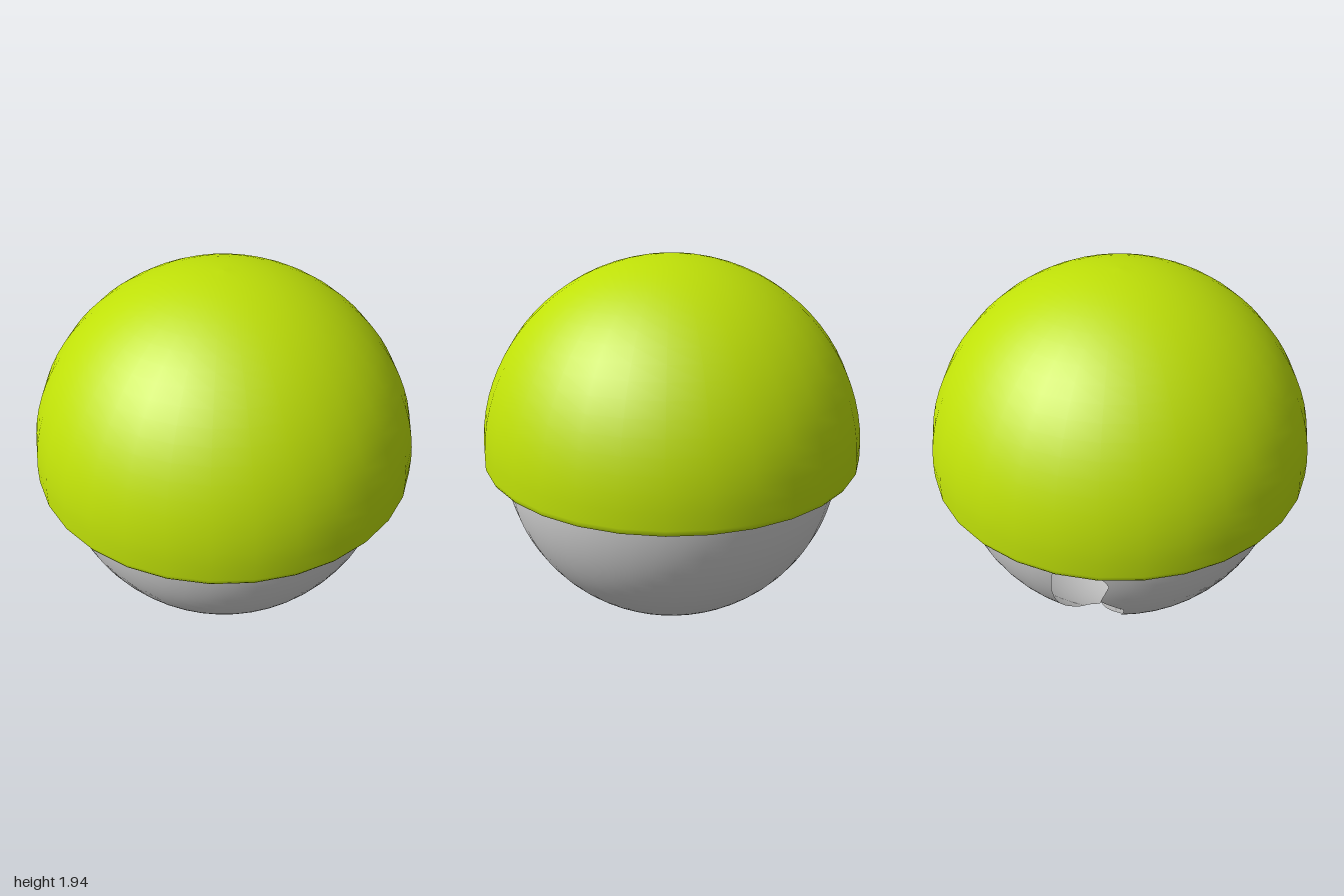
import * as THREE from 'three';

const BOWL_R = 0.9, SEGMENTS = 32;

// Edges of the torn opening at the back: [height, angle in degrees from -z towards +x]
const LEFT_EDGE = [[0.126, 7.5], [0.16, 14.2], [0.3, 18.4], [0.46, 18.2], [0.64, 17.2], [0.8, 15.1], [0.86, 9.3], [0.885, 3.5]];
const RIGHT_EDGE = [[0.126, 7.5], [0.238, -5.8], [0.332, -6.1], [0.496, -6.9], [0.603, 1], [0.763, -2.3], [0.885, 3.5]];

// Linear interpolation along an edge, clamped at both ends
function edgeAngle(edge, y) {
  if (y <= edge[0][0]) return edge[0][1];
  for (let i = 1; i < edge.length; i++) {
    const [y0, a0] = edge[i - 1], [y1, a1] = edge[i];
    if (y <= y1) return a0 + (a1 - a0) * (y - y0) / (y1 - y0);
  }
  return edge[edge.length - 1][1];
}

// Lower half sphere whose rings start and end at the opening
function bowlGeometry() {
  const geo = new THREE.SphereGeometry(BOWL_R, 48, 48, 0, Math.PI * 2, Math.PI / 2, Math.PI / 2);
  const pos = geo.attributes.position, normal = geo.attributes.normal, uv = geo.attributes.uv;
  for (let i = 0; i < pos.count; i++) {
    const y = pos.getY(i), r = Math.sqrt(Math.max(0, BOWL_R * BOWL_R - y * y));
    const hi = edgeAngle(LEFT_EDGE, y + BOWL_R), lo = edgeAngle(RIGHT_EDGE, y + BOWL_R);
    const u = THREE.MathUtils.clamp(uv.getX(i), 0, 1);
    const a = THREE.MathUtils.degToRad(lo - u * (360 - (hi - lo)));
    const x = r * Math.sin(a), z = -r * Math.cos(a);
    pos.setXYZ(i, x, y, z);
    normal.setXYZ(i, x / BOWL_R, y / BOWL_R, z / BOWL_R);
  }
  return geo.translate(0, BOWL_R, 0);
}

// Thick dome: inner wall down, rounded rim, outer wall up
function domeGeometry() {
  const points = [], steps = 20;
  const add = (x, y) => points.push(new THREE.Vector2(x, y));
  for (let i = 0; i <= steps; i++) {
    const a = (i / steps) * Math.PI / 2;
    add(BOWL_R * Math.sin(a), 0.91 + BOWL_R * Math.cos(a));
  }
  add(0.9, 0.905);
  add(0.91, 0.905);
  add(0.975, 0.907);
  add(0.993, 0.912);
  add(1, 0.925);
  for (let i = steps; i >= 0; i--) {
    const a = (i / steps) * Math.PI / 2;
    add(Math.sin(a), 0.94 + Math.cos(a));
  }
  return new THREE.LatheGeometry(points, SEGMENTS);
}

export function createModel() {
  const limeGreen = new THREE.MeshStandardMaterial({ color: 0xbfe008 });
  limeGreen.name = 'limeGreen';
  const lightGrey = new THREE.MeshStandardMaterial({ color: 0xd2d2d2, side: THREE.DoubleSide });
  lightGrey.name = 'lightGrey';

  const model = new THREE.Group();
  model.name = 'crackedBall';

  const bowl = new THREE.Mesh(bowlGeometry(), lightGrey);
  bowl.name = 'lowerShell';
  const dome = new THREE.Mesh(domeGeometry(), limeGreen);
  dome.name = 'upperDome';
  model.add(bowl, dome);
  return model;
}
